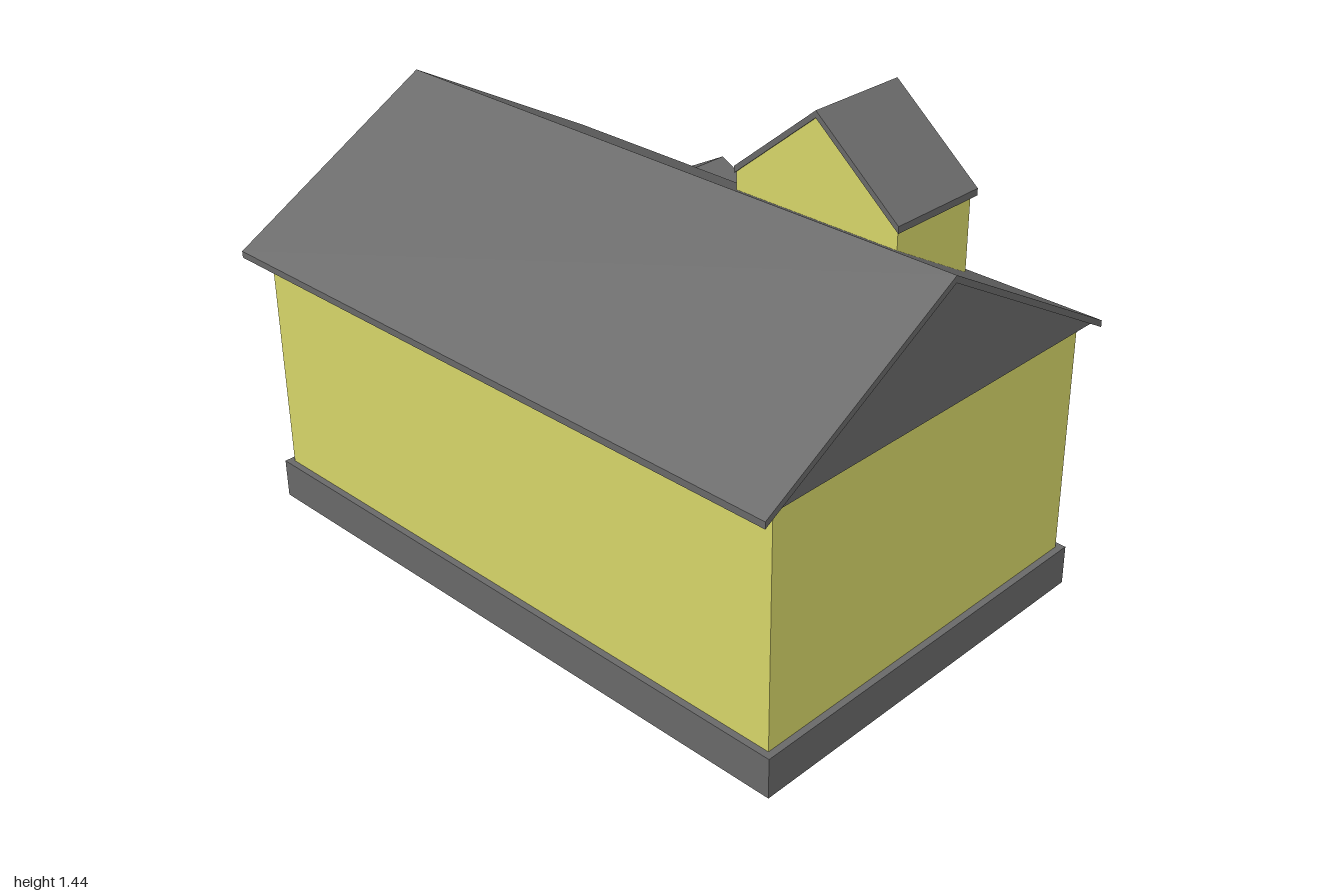
import * as THREE from 'three';

const mat = (color) => new THREE.MeshStandardMaterial({ color, flatShading: true });

export function createModel() {
  const house = new THREE.Group();
  const yellow = mat(0xd8d76a), grey = mat(0x6a6a6a), brown = mat(0x7a514a);
  const blue = mat(0x787ddb), pale = mat(0xcccccc);

  const add = (name, geometry, material, parent = house) => {
    const mesh = new THREE.Mesh(geometry, material);
    mesh.name = name;
    parent.add(mesh);
    return mesh;
  };
  // Box given by its extents
  const box = (name, material, x0, x1, y0, y1, z0, z1, parent) => {
    const g = new THREE.BoxGeometry(x1 - x0, y1 - y0, z1 - z0);
    g.translate((x0 + x1) / 2, (y0 + y1) / 2, (z0 + z1) / 2);
    return add(name, g, material, parent);
  };
  const outline = (pts) => new THREE.Shape(pts.map(([a, b]) => new THREE.Vector2(a, b)));
  const rect = (a0, a1, b0, b1) => [[a0, b0], [a1, b0], [a1, b1], [a0, b1]];
  // Extrusion of an (x, y) outline between two z values
  const alongZ = (shape, z0, z1) =>
    new THREE.ExtrudeGeometry(shape, { depth: z1 - z0, bevelEnabled: false }).translate(0, 0, z0);
  // Extrusion of a (-z, y) outline between two x values
  const alongX = (shape, x0, x1) =>
    new THREE.ExtrudeGeometry(shape, { depth: x1 - x0, bevelEnabled: false })
      .rotateY(Math.PI / 2).translate(x0, 0, 0);
  // Folded roof sheet: left eave a0, ridge m, right eave a1, with vertical thickness t
  const chevron = (a0, m, a1, eave, ridge, t) => outline([
    [a0, eave], [m, ridge - t], [a1, eave], [a1, eave + t], [m, ridge], [a0, eave + t]]);

  // Main body
  box('foundation', grey, -0.81, 0.43, 0, 0.12, -0.98, 0.98);
  box('walls', yellow, -0.79, 0.41, 0.12, 0.815, -0.96, 0.96);

  // Main roof with filled gables
  add('roof', alongZ(chevron(-0.86, -0.2, 0.465, 0.81, 1.2, 0.02), -1, 1), grey);
  add('roofGables', alongZ(outline([[-0.855, 0.811], [0.46, 0.811], [-0.2, 1.182]]), -0.97, 0.97), grey);

  // Four-pane window facing +x
  const addWindow = (name, x, z0, z1, y0, y1) => {
    const group = new THREE.Group();
    group.name = name;
    house.add(group);
    const edge = 0.012, bar = 0.009;
    const zm = (z0 + z1) / 2, ym = (y0 + y1) / 2;
    const frame = outline(rect(-z1, -z0, y0, y1));
    for (const [a0, a1] of [[-z1 + edge, -zm - bar], [-zm + bar, -z0 - edge]]) {
      for (const [b0, b1] of [[y0 + edge, ym - bar], [ym + bar, y1 - edge]]) {
        frame.holes.push(outline(rect(a0, a1, b0, b1)));
      }
    }
    add('windowFrame', alongX(frame, x, x + 0.022), grey, group);
    box('windowPanes', blue, x - 0.005, x + 0.008, y0 + 0.005, y1 - 0.005, z0 + 0.005, z1 - 0.005, group);
  };
  addWindow('frontWindow', 0.41, 0.505, 0.78, 0.3, 0.575);
  addWindow('middleWindow', 0.41, -0.047, 0.228, 0.3, 0.575);

  // Dormer
  add('dormerWalls', alongX(outline([
    [-0.74, 0.98], [-0.2, 0.98], [-0.2, 1.2], [-0.47, 1.425], [-0.74, 1.2]]), -0.095, 0.2), yellow);
  add('dormerRoof', alongX(chevron(-0.745, -0.47, -0.195, 1.19, 1.44, 0.02), -0.1, 0.223), grey);
  addWindow('dormerWindow', 0.2, 0.385, 0.585, 1.03, 1.23);

  // Porch steps
  box('upperStep', grey, 0.42, 0.76, 0.05, 0.1, -0.825, -0.35);
  box('lowerStep', grey, 0.42, 0.855, 0.01, 0.05, -0.825, -0.35);

  // Door and its slightly skewed surround
  const surround = outline([[0.405, 0.1], [0.722, 0.1], [0.702, 0.63], [0.405, 0.63]]);
  surround.holes.push(outline([[0.43, 0.12], [0.706, 0.12], [0.688, 0.61], [0.43, 0.61]]));
  add('doorFrame', alongX(surround, 0.405, 0.432), grey);
  add('door', alongX(outline([[0.425, 0.115], [0.71, 0.115], [0.692, 0.615], [0.425, 0.615]]), 0.405, 0.42), brown);

  // Porch posts and front beam
  for (const z of [-0.422, -0.768]) {
    box('porchPost', brown, 0.648, 0.7, 0.1, 0.655, z - 0.026, z + 0.026);
  }
  box('porchBeam', brown, 0.648, 0.7, 0.605, 0.655, -0.742, -0.448);

  // Porch roof: folded sheet, flat ceiling and pale gable
  add('porchRoof', alongX(chevron(0.395, 0.595, 0.795, 0.645, 0.765, 0.014), 0.41, 0.7), grey);
  box('porchCeiling', grey, 0.41, 0.695, 0.655, 0.66, -0.785, -0.405);
  add('porchGable', alongX(outline([[0.42, 0.658], [0.77, 0.658], [0.595, 0.752]]), 0.41, 0.69), pale);

  return house;
}
